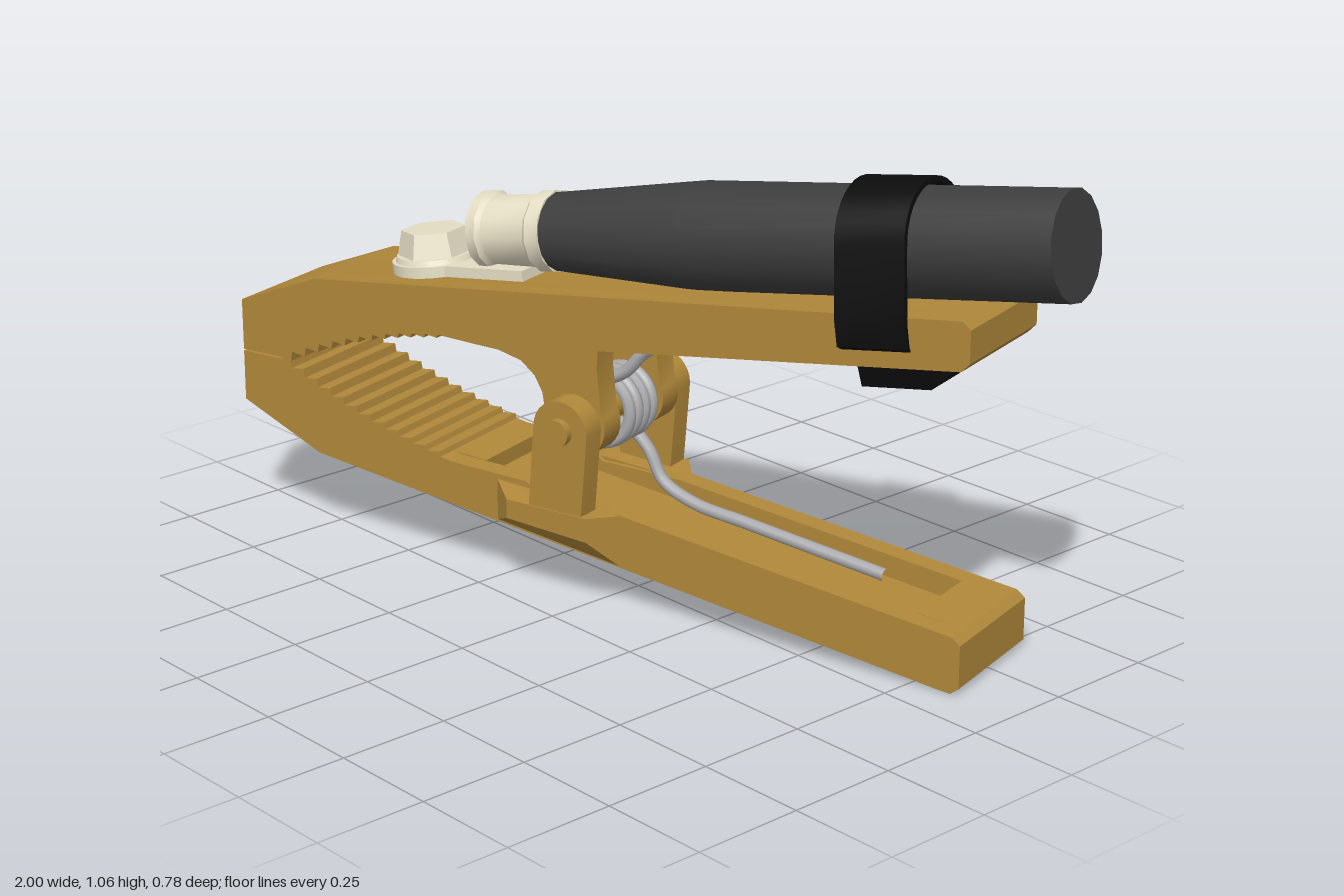
import * as THREE from 'three';
import { toCreasedNormals } from 'three/addons/utils/BufferGeometryUtils.js';
import { ConvexGeometry } from 'three/addons/geometries/ConvexGeometry.js';

const mat = (color) => new THREE.MeshStandardMaterial({ color });
const brass = mat(0xb0883a), steel = mat(0xaaaaad), cream = mat(0xe6dfc6);
const rubber = mat(0x3e3e3e), tape = mat(0x0c0c0c), copper = mat(0xa0432a);

const PIVOT = [-0.01, 0.405];
const HALF = 0.148; // half width of a jaw
const RIM = 0.1; // inner face of the channel walls

function add(parent, name, geometry, material) {
  const mesh = new THREE.Mesh(geometry, material);
  mesh.name = name;
  parent.add(mesh);
  return mesh;
}

// Side profile extruded across the width from z0 to z1
function slab(points, z0, z1) {
  const shape = new THREE.Shape(points.map(([x, y]) => new THREE.Vector2(x, y)));
  const g = new THREE.ExtrudeGeometry(shape, { depth: z1 - z0, bevelEnabled: false });
  g.translate(0, 0, z0);
  return toCreasedNormals(g, 0.5);
}

// Saw teeth along a curve; dir is the side the tips point to
function teeth(a, b, c, dir, n = 12) {
  const curve = new THREE.QuadraticBezierCurve(
    new THREE.Vector2(...a), new THREE.Vector2(...b), new THREE.Vector2(...c));
  const out = [];
  for (let i = 0; i < n; i++) {
    const p = curve.getPoint(i / n), q = curve.getPoint((i + 1) / n);
    out.push([p.x, p.y], [q.x - 0.004, p.y + dir * 0.004]);
  }
  out.push(c);
  return out;
}

function arc(cx, cy, r, from, to, n = 14) {
  return Array.from({ length: n + 1 }, (_, i) => {
    const a = from + ((to - from) * i) / n;
    return [cx + r * Math.cos(a), cy + r * Math.sin(a)];
  });
}

// A jaw: solid core with a recessed channel, plus a full-height wall on each side
function jaw(parent, name, outer, toothed, inner, channel) {
  const g = new THREE.Group();
  g.name = name;
  parent.add(g);
  add(g, name + 'Core', slab([...toothed, ...channel, ...outer], -RIM, RIM), brass);
  for (const [z0, z1] of [[-HALF, -RIM], [RIM, HALF]])
    add(g, name + 'Wall', slab([...toothed, ...inner, ...outer], z0, z1), brass);
  return g;
}

// Lathe around the x axis, profile given as [x, radius]
function turned(profile, sides) {
  const g = new THREE.LatheGeometry(profile.map(([x, r]) => new THREE.Vector2(r, x)), sides);
  g.rotateZ(-Math.PI / 2);
  g.scale(1, -1, 1);
  // the mirror flips the winding, so turn it back with a second mirror
  g.scale(1, 1, -1);
  return toCreasedNormals(g, 0.6);
}

export function createModel() {
  const root = new THREE.Group();
  root.name = 'groundClamp';
  const clamp = new THREE.Group();
  clamp.name = 'clampAssembly';
  clamp.position.x = -0.07;
  clamp.rotation.y = THREE.MathUtils.degToRad(15.3);
  root.add(clamp);

  // Upper jaw
  const upper = jaw(clamp, 'upperJaw',
    [[0.905, 0.695], [0.924, 0.715], [0.924, 0.785], [0.905, 0.8], [-0.71, 0.61], [-0.921, 0.525], [-0.921, 0.406]],
    teeth([-0.82, 0.406], [-0.58, 0.52], [-0.37, 0.54], -1),
    [[-0.28, 0.537], [-0.19, 0.535], [0.05, 0.58]],
    [[-0.25, 0.537], [-0.16, 0.54], [-0.13, 0.59], [0.05, 0.625], [0.8, 0.73], [0.8, 0.683]]);
  const upperLug = [
    [0.05, 0.6], [0.045, 0.54], [0.055, 0.44],
    ...arc(...PIVOT, 0.075, 0.3, -Math.PI * 0.95),
    [-0.095, 0.46], [-0.115, 0.495], [-0.15, 0.522], [-0.22, 0.538], [-0.2, 0.6]];

  // Lower jaw
  const lower = jaw(clamp, 'lowerJaw',
    [[0.905, 0.125], [0.924, 0.11], [0.924, 0.015], [0.905, 0], [0.88, 0.002], [-0.71, 0.195], [-0.921, 0.285], [-0.921, 0.402]],
    teeth([-0.82, 0.402], [-0.6, 0.295], [-0.37, 0.255], 1),
    [[-0.34, 0.25], [-0.14, 0.245], [-0.105, 0.22], [0.1, 0.217]],
    [[-0.28, 0.25], [-0.28, 0.215], [0.1, 0.17], [0.8, 0.085], [0.8, 0.138]]);
  const lowerLug = [[0.04, 0.19], ...arc(...PIVOT, 0.068, 0, Math.PI), [-0.095, 0.19]];

  for (const s of [-1, 1]) {
    const side = (a, b) => (s > 0 ? [a, b] : [-b, -a]);
    add(upper, 'upperLug', slab(upperLug, ...side(0.085, HALF)), brass);
    add(lower, 'lowerLug', slab(lowerLug, ...side(0.152, 0.208)), brass);
    // Flared shoulder that carries the lower lug
    const flare = [];
    for (const [x, top, bottom, w] of [
      [-0.217, 0.235, 0.14, HALF], [-0.15, 0.222, 0.178, 0.21],
      [0.056, 0.22, 0.165, 0.21], [0.1, 0.215, 0.1, HALF],
      [-0.217, 0.235, 0.14, 0.11], [0.1, 0.215, 0.1, 0.11]])
      flare.push(new THREE.Vector3(x, top, s * w), new THREE.Vector3(x, bottom, s * w));
    add(lower, 'shoulder', new ConvexGeometry(flare), brass);
  }

  // Pivot pin
  const pin = add(clamp, 'pivotPin', new THREE.CylinderGeometry(0.03, 0.03, 0.45, 20), brass);
  pin.rotation.x = Math.PI / 2;
  pin.position.set(...PIVOT, 0);

  // Torsion spring: upper leg, coil, lower leg
  const path = [[0.6, 0.66, 0.04], [0.3, 0.615, 0.045], [0.12, 0.57, 0.055], [0.06, 0.51, 0.062]];
  const turns = 4.5, steps = 54;
  for (let i = 0; i <= steps; i++) {
    const a = Math.PI / 2 + (i / steps) * turns * 2 * Math.PI;
    path.push([PIVOT[0] + 0.072 * Math.cos(a), PIVOT[1] + 0.072 * Math.sin(a), 0.066 - 0.132 * (i / steps)]);
  }
  path.push([0.04, 0.29, -0.066], [0.08, 0.225, -0.063], [0.16, 0.19, -0.06], [0.3, 0.172, -0.058], [0.64, 0.13, -0.055]);
  const curve = new THREE.CatmullRomCurve3(path.map((p) => new THREE.Vector3(...p)));
  add(clamp, 'spring', new THREE.TubeGeometry(curve, 320, 0.014, 8), steel);

  // Cable terminal bolted to the upper jaw
  const terminal = new THREE.Group();
  terminal.name = 'terminal';
  terminal.position.set(-0.475, 0.636, 0);
  terminal.rotation.z = THREE.MathUtils.degToRad(6.6);
  clamp.add(terminal);
  add(terminal, 'terminalEye', new THREE.CylinderGeometry(0.1, 0.1, 0.026, 24), cream).position.y = 0.013;
  add(terminal, 'terminalTongue', new THREE.BoxGeometry(0.28, 0.026, 0.14), cream).position.set(0.14, 0.013, 0);
  add(terminal, 'washer', new THREE.CylinderGeometry(0.088, 0.092, 0.012, 24), cream).position.y = 0.032;
  const bolt = toCreasedNormals(new THREE.CylinderGeometry(0.072, 0.086, 0.055, 6), 0.3);
  add(terminal, 'boltHead', bolt, cream).position.y = 0.065;

  // Cable lying along the upper jaw
  const cable = new THREE.Group();
  cable.name = 'cable';
  cable.position.set(-0.15, 0.775, 0);
  cable.rotation.z = THREE.MathUtils.degToRad(7.9);
  clamp.add(cable);
  add(cable, 'cableSleeve', turned([[0, 0], [0, 0.086], [0.37, 0.117], [1.235, 0.115], [1.235, 0]], 16), rubber);
  const collar = add(cable, 'collar', turned([
    [-0.17, 0.066], [-0.19, 0.068], [-0.19, 0.086], [-0.165, 0.088], [-0.155, 0.078],
    [-0.04, 0.082], [-0.03, 0.091], [0.005, 0.091], [0.005, 0.07]], 12), cream);
  collar.material = cream.clone();
  collar.material.side = THREE.DoubleSide;
  const core = add(cable, 'copperCore', new THREE.CylinderGeometry(0.068, 0.068, 0.17, 14), copper);
  core.rotation.z = Math.PI / 2;
  core.position.x = -0.095;

  // Strap over the cable, through the jaw and out below it
  const loop = (grow) => [
    ...arc(0, 0, 0.122 + grow, 0.15, Math.PI - 0.15, 16),
    [-0.15 - grow, -0.13], [-0.15 - grow, -0.18], [-0.08 - grow, -0.225], [-0.068 - grow, -0.275 - grow],
    [0.068 + grow, -0.275 - grow], [0.08 + grow, -0.225], [0.15 + grow, -0.18], [0.15 + grow, -0.13]];
  const band = new THREE.Shape(loop(0.012).map((p) => new THREE.Vector2(...p)));
  band.holes.push(new THREE.Path(loop(0).map((p) => new THREE.Vector2(...p))));
  const strap = new THREE.ExtrudeGeometry(band, { depth: 0.16, bevelEnabled: false });
  strap.rotateY(Math.PI / 2);
  add(cable, 'strap', toCreasedNormals(strap, 0.5), tape).position.x = 0.765;
  // Gathered end of the strap under the jaw
  add(cable, 'strapFold', new THREE.BoxGeometry(0.15, 0.04, 0.13), tape).position.set(0.845, -0.262, 0);

  return root;
}
